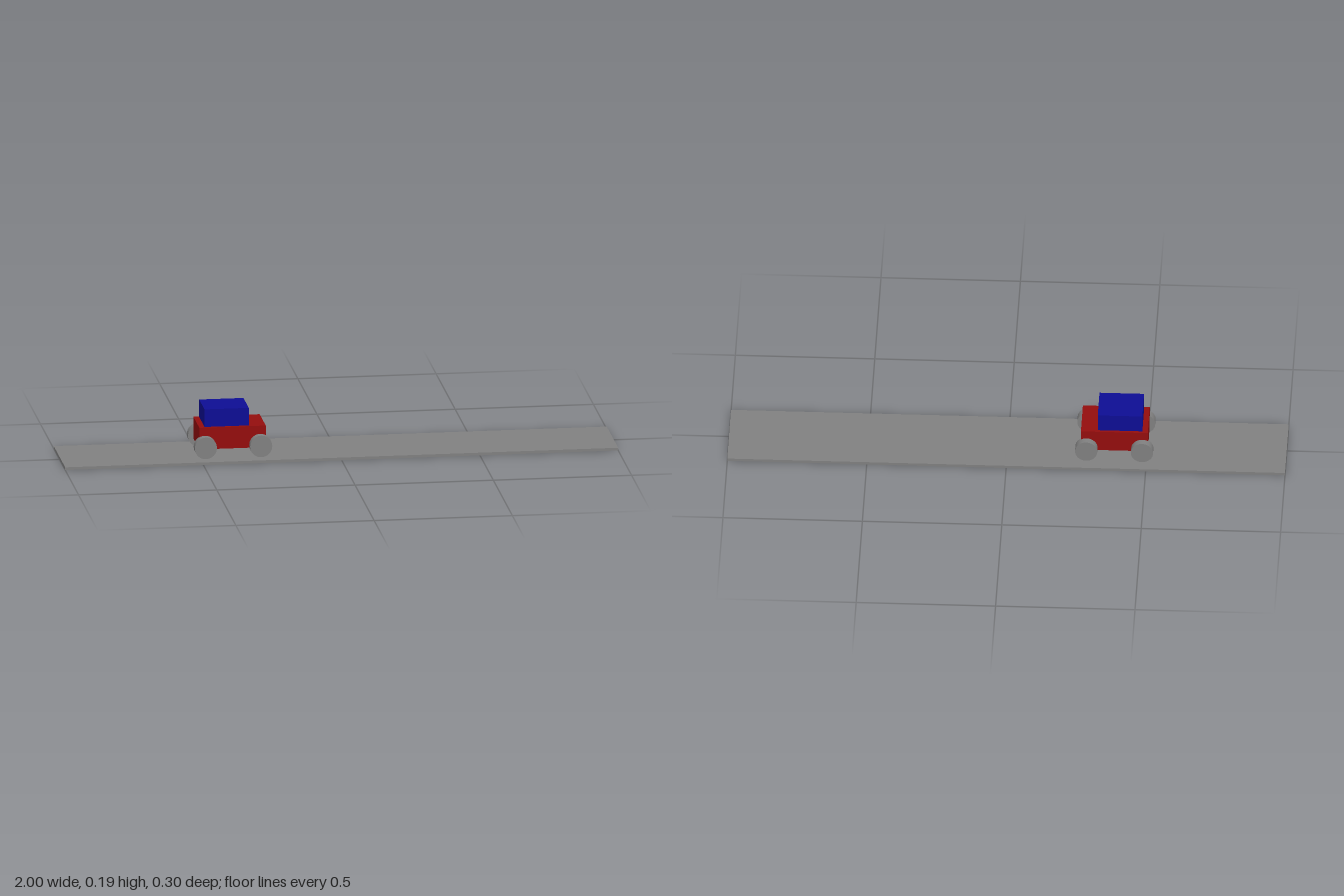
import * as THREE from 'three';

const paint = (name, color) => new THREE.MeshStandardMaterial({ name, color });

export function createModel() {
  const grey = paint('grey', 0x808080);
  const red = paint('red', 0x930d0d);
  const blue = paint('blue', 0x0d0d93);

  const add = (parent, name, geometry, material, x, y, z) => {
    const mesh = new THREE.Mesh(geometry, material);
    mesh.name = name;
    mesh.position.set(x, y, z);
    parent.add(mesh);
    return mesh;
  };

  const model = new THREE.Group();
  model.name = 'carOnRoad';

  // Road strip
  add(model, 'road', new THREE.BoxGeometry(2, 0.01, 0.3), grey, 0, 0.005, 0);

  // Car, centred between its axles
  const car = new THREE.Group();
  car.name = 'car';
  car.position.x = -0.385;
  model.add(car);
  add(car, 'body', new THREE.BoxGeometry(0.24, 0.08, 0.16), red, 0, 0.08, 0);
  add(car, 'cabin', new THREE.BoxGeometry(0.16, 0.065, 0.14), blue, -0.02, 0.1525, 0);

  // Four wheels with their axles along z
  const wheel = new THREE.CylinderGeometry(0.04, 0.04, 0.032, 32).rotateX(Math.PI / 2);
  for (const [end, x] of [['rear', -0.1], ['front', 0.1]]) {
    for (const [side, z] of [['Left', -0.09], ['Right', 0.09]]) {
      add(car, `${end}${side}Wheel`, wheel, grey, x, 0.05, z);
    }
  }
  return model;
}
